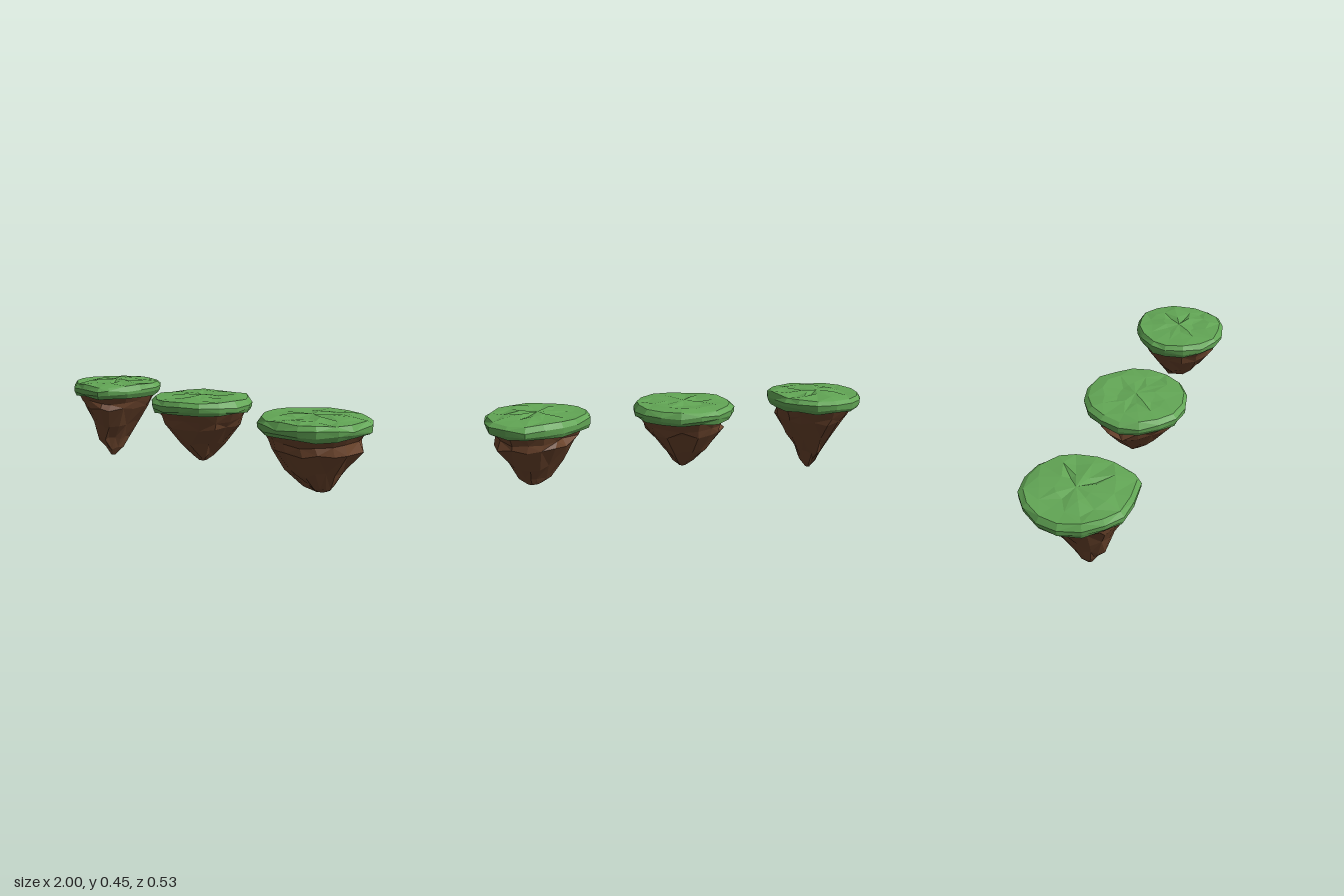
import * as THREE from 'three';

const SIDES = 16;

function seeded(seed) {
  let s = seed;
  return () => {
    s = (s * 16807) % 2147483647;
    return (s / 2147483647) * 2 - 1; // -1..1
  };
}

// Skin stacked rings (bottom to top, clockwise from above) with flat facets
function loft(rings, material, name) {
  const pos = [];
  const tri = (a, b, c) => {
    const n = b.clone().sub(a).cross(c.clone().sub(a));
    if (n.length() > 1e-9) pos.push(...a.toArray(), ...b.toArray(), ...c.toArray());
  };
  for (let r = 0; r < rings.length - 1; r++) {
    for (let i = 0; i < SIDES; i++) {
      const j = (i + 1) % SIDES;
      const a = rings[r][j], b = rings[r][i], c = rings[r + 1][i], d = rings[r + 1][j];
      if ((i + r) % 2) { tri(a, b, c); tri(a, c, d); }
      else { tri(a, b, d); tri(b, c, d); }
    }
  }
  const geo = new THREE.BufferGeometry();
  geo.setAttribute('position', new THREE.Float32BufferAttribute(pos, 3));
  geo.computeVertexNormals();
  const mesh = new THREE.Mesh(geo, material);
  mesh.name = name;
  return mesh;
}

// Slightly uneven round outline
const roundOutline = Array.from({ length: SIDES }, (_, i) => {
  const a = (i / SIDES) * Math.PI * 2;
  const r = 0.262 + 0.003 * Math.sin(i * 2.3);
  return [0.003 + Math.sin(a) * r, -Math.cos(a) * r];
});

// outline: rim corners [x, z] from the back, clockwise seen from above
// rows: rock sections [y, xMin, xMax, zMin, zMax] from the tip upward
const ISLANDS = [
  {
    name: 'tallIsland', seed: 4211, notch: 13,
    outline: [[-0.74, -0.265], [-0.64, -0.245], [-0.56, -0.18], [-0.515, -0.11],
      [-0.512, 0], [-0.517, 0.09], [-0.56, 0.19], [-0.6, 0.235], [-0.73, 0.245],
      [-0.83, 0.235], [-0.91, 0.18], [-0.97, 0.1], [-1, 0], [-0.98, -0.1],
      [-0.92, -0.19], [-0.84, -0.25]],
    rows: [[0, -0.76, -0.738, 0.02, 0.045], [0.05, -0.785, -0.705, -0.03, 0.08],
      [0.11, -0.81, -0.685, -0.07, 0.118], [0.2, -0.85, -0.63, -0.13, 0.155],
      [0.3, -0.905, -0.57, -0.195, 0.198]],
  },
  {
    name: 'middleIsland', seed: 977, notch: 13,
    outline: roundOutline,
    rows: [[0.102, -0.008, 0.03, -0.02, 0.02], [0.135, -0.05, 0.065, -0.06, 0.06],
      [0.2, -0.11, 0.115, -0.125, 0.12], [0.3, -0.2, 0.195, -0.195, 0.195]],
  },
  {
    name: 'bluntIsland', seed: 15013, notch: 14,
    outline: [[0.76, -0.24], [0.85, -0.243], [0.93, -0.19], [0.995, -0.1], [1, 0.04],
      [0.985, 0.12], [0.93, 0.2], [0.86, 0.24], [0.76, 0.26], [0.67, 0.245],
      [0.58, 0.19], [0.52, 0.1], [0.495, 0], [0.51, -0.08], [0.59, -0.17], [0.67, -0.22]],
    rows: [[0.1, 0.75, 0.825, -0.06, 0.02], [0.13, 0.705, 0.855, -0.08, 0.065],
      [0.2, 0.64, 0.89, -0.125, 0.14], [0.3, 0.57, 0.955, -0.195, 0.2]],
  },
];

function buildIsland(spec, grassMat, rockMat) {
  const rand = seeded(spec.seed);
  const xs = spec.outline.map((p) => p[0]), zs = spec.outline.map((p) => p[1]);
  const x0 = Math.min(...xs), x1 = Math.max(...xs), z0 = Math.min(...zs), z1 = Math.max(...zs);
  const cx = (x0 + x1) / 2, cz = (z0 + z1) / 2;

  // Rim shape fitted into a box, with radial and vertical jitter
  const section = ([y, a, b, c, d], rJit = 0, yJit = 0, dent = 0) =>
    spec.outline.map(([x, z], i) => {
      const gap = Math.abs(i - spec.notch);
      const k = (1 + rand() * rJit) * (1 - (gap === 0 ? dent : gap === 1 ? dent * 0.3 : 0));
      return new THREE.Vector3(
        (a + b) / 2 + ((x - cx) / (x1 - x0)) * (b - a) * k,
        y + rand() * yJit,
        (c + d) / 2 + ((z - cz) / (z1 - z0)) * (d - c) * k);
    });
  const scaled = (s, y) => [y, cx + (x0 - cx) * s, cx + (x1 - cx) * s,
    cz + (z0 - cz) * s, cz + (z1 - cz) * s];
  const point = (x, y, z) => spec.outline.map(() => new THREE.Vector3(x, y, z));

  // Tapered rock, notched near the top at the back
  const [ty, ta, tb, tc, td] = spec.rows[0];
  const rock = [point((ta + tb) / 2, ty, (tc + td) / 2)];
  spec.rows.forEach((row, i) => rock.push(section(row, 0.06, i ? 0.012 : 0)));
  rock.push(section(scaled(0.8, 0.335), 0.03, 0.008, 0.25));
  rock.push(section(scaled(0.92, 0.388), 0, 0, 0.2));
  rock.push(point(cx, 0.392, cz));

  // Turf cap with a drooping lip and bumpy top
  const grass = [
    point(cx, 0.385, cz),
    section(scaled(0.6, 0.382)),
    section(scaled(0.945, 0.37), 0.015, 0.008),
    section(scaled(0.992, 0.388), 0.006, 0.006),
    section(scaled(1, 0.412), 0, 0.007),
    section(scaled(0.92, 0.435), 0.02, 0.005),
    section(scaled(0.66, 0.438), 0.12, 0.009),
    section(scaled(0.34, 0.441), 0.15, 0.009),
    point(cx, 0.446, cz),
  ];

  const island = new THREE.Group();
  island.name = spec.name;
  island.add(loft(rock, rockMat, 'rock'), loft(grass, grassMat, 'grass'));
  return island;
}

export function createModel() {
  const grassMat = new THREE.MeshStandardMaterial({ color: 0x62a655, flatShading: true });
  const rockMat = new THREE.MeshStandardMaterial({ color: 0x6b442c, flatShading: true });
  const model = new THREE.Group();
  model.name = 'floatingIslands';
  for (const spec of ISLANDS) model.add(buildIsland(spec, grassMat, rockMat));
  return model;
}
